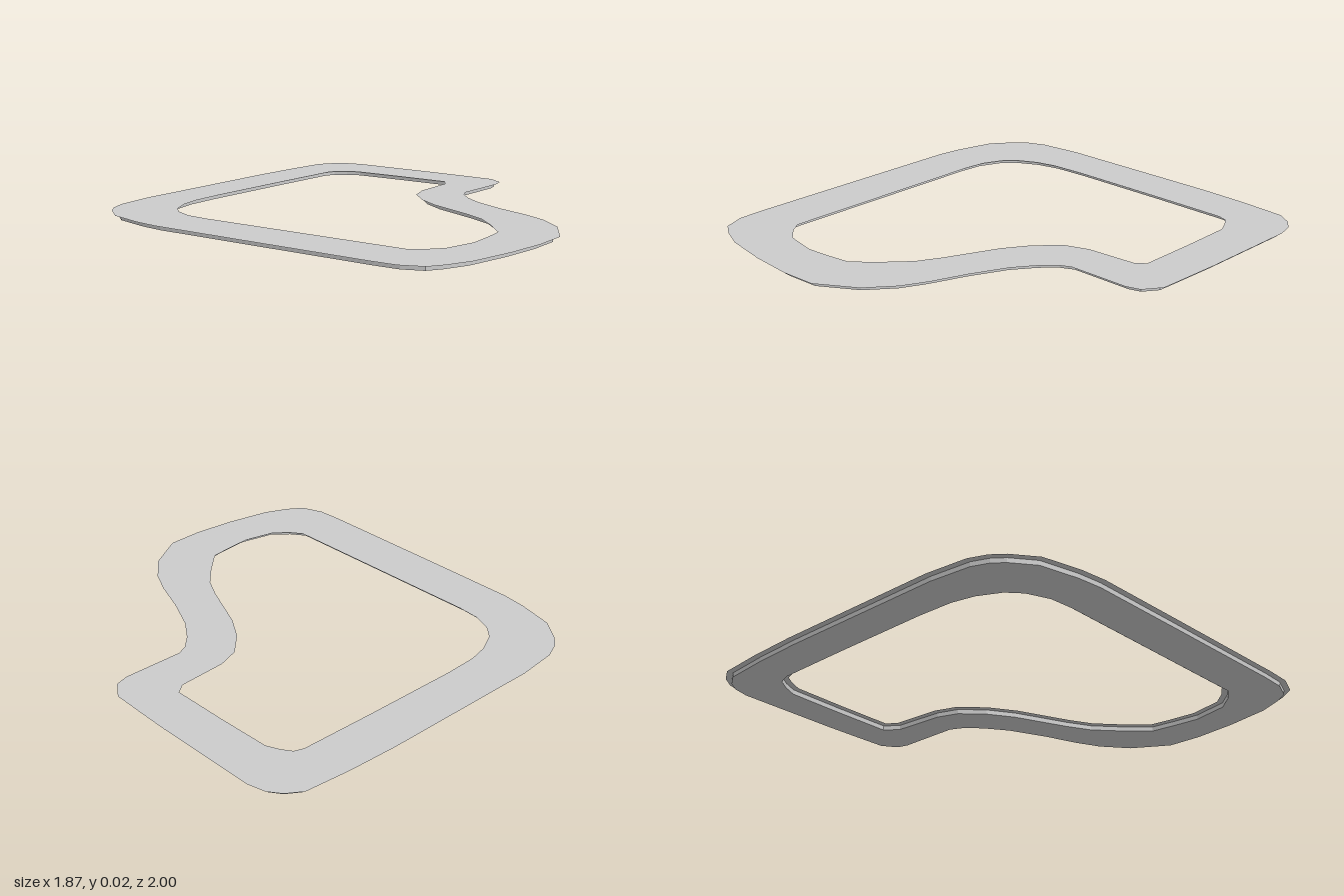
import * as THREE from 'three';

const HEIGHT = 0.022;
const INSET = 0.027;

// Track edges as x, z pairs, both clockwise seen from above
const OUTER = [
  -0.65, -0.96, -0.455, -0.985, 0.35, -1, 0.585, -0.995, 0.8, -0.98, 0.87, -0.935, 0.91, -0.88,
  0.93, -0.8, 0.93, -0.3, 0.925, -0.12, 0.92, 0.02, 0.865, 0.1, 0.8, 0.12, 0.515, 0.125,
  0.465, 0.15, 0.405, 0.21, 0.335, 0.31, 0.26, 0.475, 0.2, 0.64, 0.145, 0.755, 0.045, 0.88,
  -0.13, 0.99, -0.3, 1, -0.5, 0.985, -0.71, 0.95, -0.82, 0.905, -0.89, 0.86, -0.93, 0.76,
  -0.935, 0.64, -0.93, 0, -0.925, -0.475, -0.91, -0.595, -0.865, -0.775, -0.785, -0.88, -0.73, -0.925,
];
const INNER = [
  -0.22, -0.765, 0.24, -0.77, 0.61, -0.77, 0.655, -0.755, 0.685, -0.71, 0.71, -0.655, 0.715, -0.4,
  0.715, -0.125, 0.67, -0.09, 0.44, -0.07, 0.335, -0.03, 0.235, 0.07, 0.16, 0.19, 0.055, 0.435,
  0, 0.54, -0.09, 0.64, -0.195, 0.74, -0.29, 0.755, -0.42, 0.77, -0.575, 0.74, -0.64, 0.685,
  -0.68, 0.63, -0.68, -0.42, -0.67, -0.53, -0.63, -0.625, -0.58, -0.68, -0.485, -0.73, -0.385, -0.755,
];

// Shape y is -z, so the shape lies flat after a quarter turn about x
function toPoints(pairs) {
  const points = [];
  for (let i = 0; i < pairs.length; i += 2) points.push(new THREE.Vector2(pairs[i], -pairs[i + 1]));
  return points;
}

// Moves a clockwise loop inward by a distance, with mitred corners
function offset(points, distance) {
  const n = points.length;
  const normal = (a, b) => new THREE.Vector2(b.y - a.y, a.x - b.x).normalize();
  return points.map((p, i) => {
    const n1 = normal(points[(i + n - 1) % n], p);
    const n2 = normal(p, points[(i + 1) % n]);
    const miter = n1.clone().add(n2).divideScalar(1 + n1.dot(n2));
    return p.clone().addScaledVector(miter, distance);
  });
}

function ringShape(outer, inner) {
  const shape = new THREE.Shape(outer);
  shape.holes.push(new THREE.Path(inner));
  return shape;
}

export function createModel() {
  const group = new THREE.Group();
  group.name = 'raceTrack';
  const material = new THREE.MeshStandardMaterial({
    color: 0xcccccc, flatShading: true, side: THREE.DoubleSide,
  });
  const outer = toPoints(OUTER);
  const inner = toPoints(INNER);

  // Thin road surface overhanging the base on both edges
  const roadGeometry = new THREE.ShapeGeometry(ringShape(outer, inner));
  roadGeometry.rotateX(-Math.PI / 2);
  const road = new THREE.Mesh(roadGeometry, material);
  road.name = 'roadSurface';
  road.position.y = HEIGHT;

  // Solid base set in from the road edges
  const baseGeometry = new THREE.ExtrudeGeometry(
    ringShape(offset(outer, INSET), offset(inner, -INSET)),
    { depth: HEIGHT - 0.001, bevelEnabled: false },
  );
  baseGeometry.rotateX(-Math.PI / 2);
  const base = new THREE.Mesh(baseGeometry, material);
  base.name = 'trackBase';

  group.add(road, base);
  return group;
}
